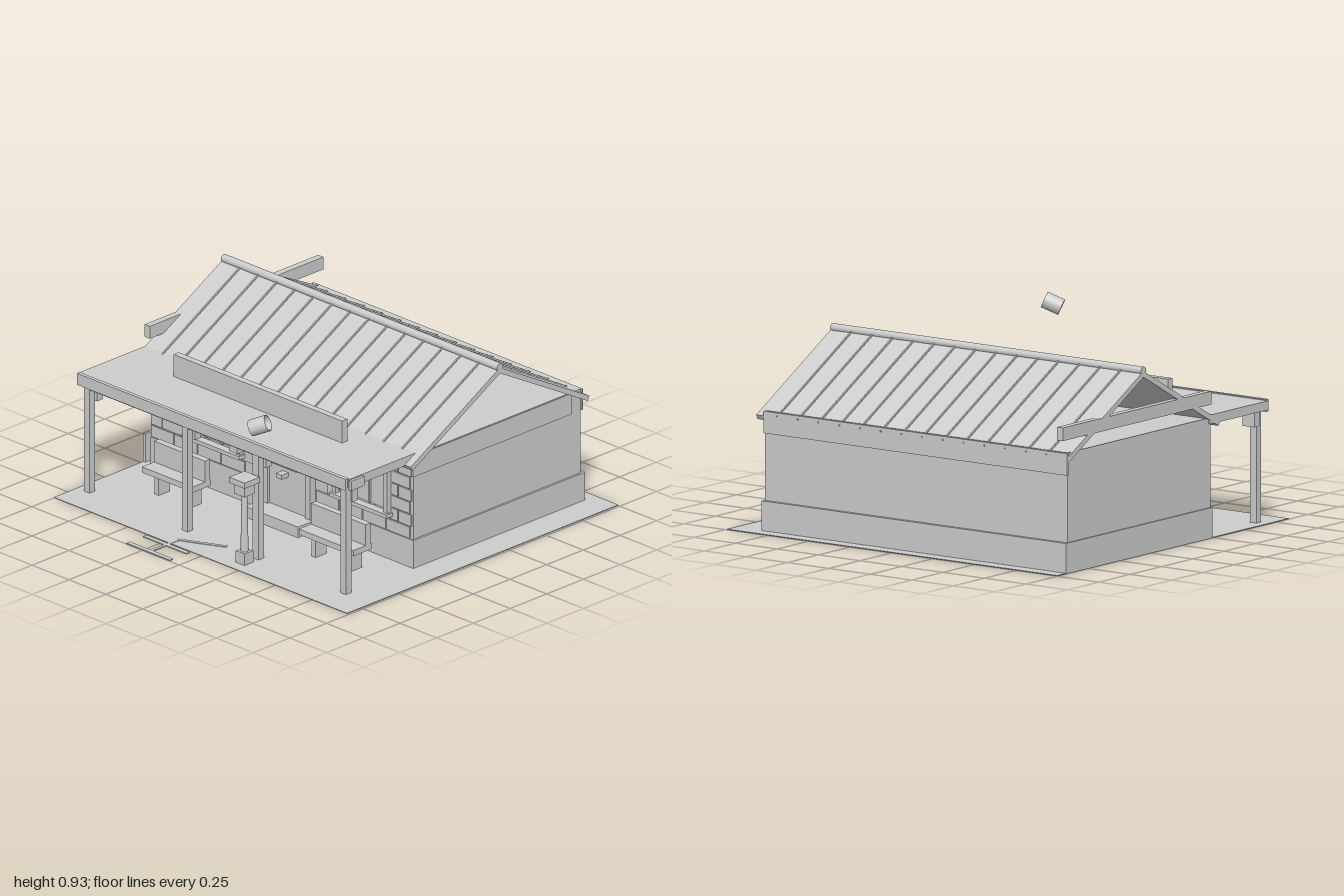
import * as THREE from 'three';

export function createModel() {
  const model = new THREE.Group();
  model.name = 'roadsideStore';
  const grey = new THREE.MeshStandardMaterial({ color: 0xcccccc });
  grey.name = 'plain grey';

  const add = (name, geometry, parent = model) => {
    const mesh = new THREE.Mesh(geometry, grey);
    mesh.name = name;
    parent.add(mesh);
    return mesh;
  };
  // Box given by its minimum and maximum on each axis
  const box = (name, x0, x1, y0, y1, z0, z1, parent) => {
    const g = new THREE.BoxGeometry(x1 - x0, y1 - y0, z1 - z0);
    g.translate((x0 + x1) / 2, (y0 + y1) / 2, (z0 + z1) / 2);
    return add(name, g, parent);
  };
  // One-sided wall panel, turned about y
  const panel = (name, width, height, x, y, z, turn) => {
    const p = add(name, new THREE.PlaneGeometry(width, height));
    p.position.set(x, y, z);
    p.rotation.y = turn;
    return p;
  };

  // Ground slab
  box('ground', -1, 0.99, 0, 0.004, -1, 0.85);

  // Walls and attic floor
  panel('frontWall', 1.78, 0.6, -0.06, 0.3, 0.235, 0);
  panel('backWall', 1.825, 0.59, -0.083, 0.295, -0.91, Math.PI);
  panel('rightEndWall', 1.145, 0.59, 0.825, 0.295, -0.3375, Math.PI / 2);
  panel('leftEndWall', 1.145, 0.59, -0.992, 0.295, -0.3375, -Math.PI / 2);
  const attic = panel('atticFloor', 1.815, 1.145, -0.0835, 0.588, -0.3375, 0);
  attic.rotation.x = -Math.PI / 2;

  // Plinth and upper trim around the walls
  box('endPlinth', 0.82, 0.835, 0, 0.15, -0.93, 0.24);
  box('backPlinth', -1, 0.835, 0, 0.15, -0.93, -0.912);
  box('sidePlinth', -1, -0.985, 0, 0.15, -0.93, 0.24);
  box('frontPlinth', -0.95, 0.835, 0, 0.15, 0.225, 0.242);
  box('endTrim', 0.82, 0.832, 0.48, 0.588, -0.84, 0.24);
  box('backTrim', -1, 0.832, 0.48, 0.588, -0.92, -0.91);

  // Gable at the far end, facing inward
  const gable = new THREE.Shape([[-0.235, 0.588], [0.91, 0.588], [0.31, 0.885]]
    .map(([a, b]) => new THREE.Vector2(a, b)));
  const gableMesh = add('innerGable', new THREE.ShapeGeometry(gable));
  gableMesh.rotation.y = Math.PI / 2;
  gableMesh.position.x = -0.955;
  box('sideSign', -1, -0.965, 0.655, 0.72, -0.955, 0.23);

  // Roof slopes with standing seams
  const run = 0.61, drop = 0.335;
  const length = Math.hypot(run, drop), pitch = Math.atan2(drop, run);
  for (const side of [1, -1]) {
    const slope = new THREE.Group();
    slope.name = side > 0 ? 'frontRoofSlope' : 'backRoofSlope';
    slope.position.set(0, 0.9, -0.31);
    slope.rotation.x = side * pitch;
    const z0 = side > 0 ? 0 : -length, z1 = side > 0 ? length : 0;
    box('roofSheet', -1, 0.875, -0.026, 0, z0, z1, slope);
    for (let i = 0; i < 14; i++) {
      const x = -0.875 + i * 0.125;
      box('roofSeam', x - 0.004, x + 0.004, -0.002, 0.007, z0, z1, slope);
    }
    model.add(slope);
  }
  const ridge = add('ridgeCap', new THREE.CylinderGeometry(0.021, 0.021, 1.875, 12));
  ridge.rotation.z = Math.PI / 2;
  ridge.position.set(-0.0625, 0.901, -0.31);

  // Porch roof, fascia and long board above it
  box('porchRoof', -1, 0.835, 0.56, 0.605, 0.22, 0.685);
  box('porchFascia', -0.99, 0.83, 0.55, 0.61, 0.68, 0.7);
  box('porchBeam', -0.95, 0.83, 0.545, 0.565, 0.655, 0.695);
  box('roofBoard', -0.645, 0.5, 0.6, 0.72, 0.355, 0.39);
  box('fasciaEnd', 0.83, 0.85, 0.55, 0.6, 0.59, 0.68);

  // Porch posts with capitals
  for (const x of [-0.93, -0.265, 0.215, 0.81]) {
    box('porchPost', x - 0.019, x + 0.019, 0, 0.56, 0.657, 0.695);
    box('postCapital', x - 0.035, Math.min(x + 0.035, 0.835), 0.48, 0.55, 0.62, 0.66);
  }

  // Stone courses on the front
  for (let row = 0; row < 6; row++) {
    for (let i = 0; i < 12; i++) {
      const x0 = Math.max(-0.945, -0.945 + i * 0.16 - (row % 2) * 0.08);
      const x1 = Math.min(0.825, -0.945 + (i + 1) * 0.16 - (row % 2) * 0.08) - 0.006;
      if (x1 - x0 < 0.02 || (x1 > -0.16 && x0 < 0.17)) continue;
      box('wallStone', x0, x1, 0.154 + row * 0.065, 0.213 + row * 0.065, 0.232, 0.243);
    }
  }

  // Windows: frame, pane, mullions and sill
  for (const cx of [-0.5, 0.5]) {
    box('windowPane', cx - 0.17, cx + 0.17, 0.27, 0.49, 0.235, 0.255);
    for (const s of [-1, 1]) {
      box('windowJamb', cx + s * 0.175 - 0.011, cx + s * 0.175 + 0.011, 0.25, 0.51, 0.235, 0.272);
      box('windowMullion', cx + s * 0.055 - 0.005, cx + s * 0.055 + 0.005, 0.27, 0.49, 0.25, 0.265);
    }
    box('windowHead', cx - 0.185, cx + 0.185, 0.488, 0.512, 0.235, 0.272);
    box('windowSill', cx - 0.195, cx + 0.195, 0.235, 0.255, 0.235, 0.285);
    box('windowLatch', cx - 0.008, cx + 0.008, 0.45, 0.48, 0.25, 0.27);
  }

  // Door with frame, pane, handle and step
  box('door', -0.13, 0.13, 0.06, 0.5, 0.235, 0.255);
  for (const s of [-1, 1]) {
    box('doorJamb', s * 0.145 - 0.018, s * 0.145 + 0.018, 0.06, 0.53, 0.235, 0.27);
  }
  box('doorHead', -0.163, 0.163, 0.495, 0.53, 0.235, 0.27);
  box('doorPane', -0.09, 0.085, 0.29, 0.44, 0.25, 0.285);
  box('doorHandle', -0.04, 0, 0.232, 0.255, 0.25, 0.3);
  box('doorStep', -0.18, 0.18, 0, 0.06, 0.23, 0.37);

  // Hanging porch lamp
  box('lampMount', -0.06, 0.035, 0.535, 0.56, 0.54, 0.635);
  box('lampShade', -0.04, 0.015, 0.47, 0.54, 0.56, 0.62);

  // Benches
  for (const [x0, x1] of [[-0.745, -0.4], [0.32, 0.69]]) {
    const bench = new THREE.Group();
    bench.name = 'bench';
    model.add(bench);
    box('benchSeat', x0, x1, 0.105, 0.135, 0.38, 0.505, bench);
    box('benchBack', x0, x1, 0.13, 0.245, 0.387, 0.422, bench);
    for (const x of [x0 + 0.075, x1 - 0.055]) {
      box('benchLeg', x - 0.014, x + 0.014, 0.004, 0.11, 0.405, 0.48, bench);
    }
  }

  // Pump pillar in front of the porch
  box('pumpBase', 0.175, 0.235, 0, 0.065, 0.73, 0.79);
  const column = add('pumpColumn', new THREE.CylinderGeometry(0.015, 0.02, 0.32, 12));
  column.position.set(0.205, 0.22, 0.76);
  box('pumpHead', 0.17, 0.24, 0.365, 0.425, 0.725, 0.795);
  box('pumpCap', 0.153, 0.257, 0.42, 0.45, 0.708, 0.812);

  // Flat ground rack with two rails and a bent path
  for (const z of [0.873, 0.987]) {
    box('groundRail', -0.36, -0.065, 0, 0.006, z - 0.012, z + 0.012);
  }
  box('groundStem', -0.218, -0.202, 0, 0.006, 0.79, 0.98);
  const path = add('groundPath', new THREE.BoxGeometry(0.25, 0.006, 0.018));
  path.position.set(-0.1, 0.004, 0.742);
  path.rotation.y = Math.atan2(0.1, 0.21);

  // Floating open lamp tube with inner and outer wall
  const ring = [[0.036, -0.045], [0.041, -0.045], [0.041, 0.045], [0.036, 0.045], [0.036, -0.045]];
  const tube = add('lampTube', new THREE.LatheGeometry(
    ring.map(([r, y]) => new THREE.Vector2(r, y)), 20));
  tube.position.set(0.5, 0.87, 0.953);
  tube.quaternion.setFromUnitVectors(new THREE.Vector3(0, 1, 0),
    new THREE.Vector3(0.8, 0.4, -0.45).normalize());
  tube.rotation.y += 0.0;

  return model;
}
